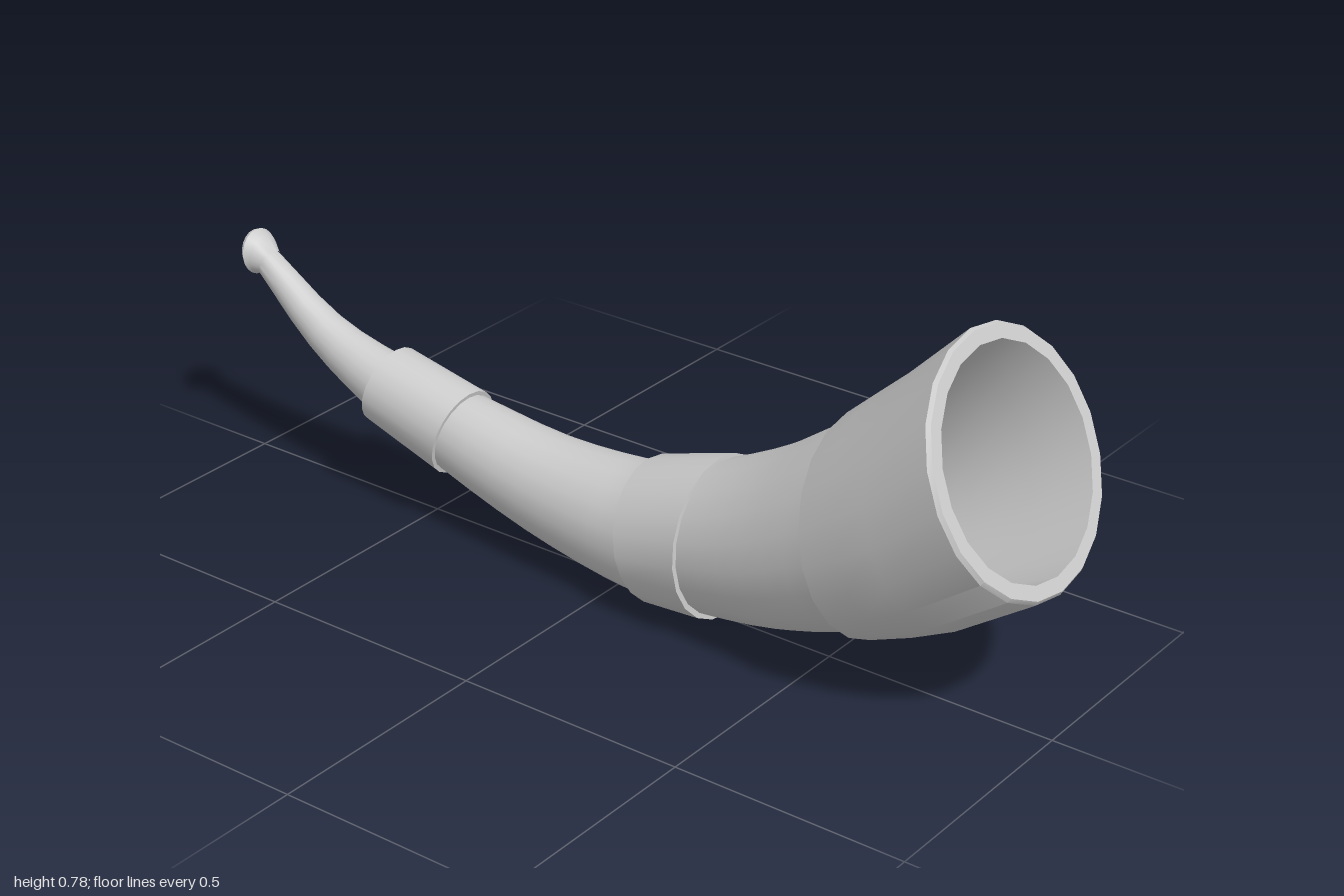
import * as THREE from 'three';
import { toCreasedNormals } from 'three/addons/utils/BufferGeometryUtils.js';

const SIDES = 20;
const material = new THREE.MeshStandardMaterial({ color: 0xcccccc });

// Skins round rings; each ring is [x, y, tilt in degrees, radius].
function loft(name, rings) {
  const pos = [], index = [];
  rings.forEach(([x, y, deg, r], i) => {
    const t = THREE.MathUtils.degToRad(deg);
    for (let j = 0; j < SIDES; j++) {
      const a = (j / SIDES) * Math.PI * 2;
      const u = r * Math.cos(a);
      pos.push(x - u * Math.sin(t), y + u * Math.cos(t), r * Math.sin(a));
      if (i === rings.length - 1) continue;
      const k = (j + 1) % SIDES, p = i * SIDES, q = p + SIDES;
      index.push(p + j, p + k, q + j, p + k, q + k, q + j);
    }
  });
  const geo = new THREE.BufferGeometry();
  geo.setAttribute('position', new THREE.Float32BufferAttribute(pos, 3));
  geo.setIndex(index);
  const mesh = new THREE.Mesh(toCreasedNormals(geo, 0.6), material);
  mesh.name = name;
  return mesh;
}

// Smoothly adds rings between the given ones.
function refine(rings, steps = 3) {
  const a = new THREE.CatmullRomCurve3(rings.map(([x, y, , r]) => new THREE.Vector3(x, y, r)));
  const b = new THREE.CatmullRomCurve3(rings.map(([, , t]) => new THREE.Vector3(t / 40, 0, 0)), false, 'catmullrom');
  const n = (rings.length - 1) * steps;
  return Array.from({ length: n + 1 }, (_, i) => {
    const p = a.getPoint(i / n);
    return [p.x, p.y, b.getPoint(i / n).x * 40, p.z];
  });
}

const resize = ([x, y, t], r) => [x, y, t, r];

// Raised collar between two rings, with stepped ends reaching into the horn.
function band(name, start, end, step) {
  return loft(name, [
    resize(start, start[3] - step), start, end, resize(end, end[3] - step),
  ]);
}

export function createModel() {
  const horn = new THREE.Group();
  horn.name = 'horn';

  // Curved tapering body
  const spine = [
    [-0.965, 0.462, -30, 0.029],
    [-0.8, 0.337, -31, 0.046],
    [-0.63, 0.265, -18, 0.066],
    [-0.425, 0.213, -13, 0.087],
    [-0.2, 0.166, -6, 0.106],
    [0, 0.151, 3, 0.127],
    [0.088, 0.155, 9, 0.137],
    [0.243, 0.188, 9, 0.157],
    [0.41, 0.243, 13, 0.182],
    [0.58, 0.329, 16, 0.207],
  ];
  horn.add(loft('body', refine(spine)));

  // Collars
  horn.add(band('smallBand', [-0.623, 0.266, -14, 0.087], [-0.425, 0.213, -13, 0.096], 0.03));
  horn.add(band('middleBand', [0.088, 0.155, 12.3, 0.15], [0.243, 0.188, 4.6, 0.168], 0.03));

  // Bell with bevelled rim
  const rim = [0.887, 0.553, 24.8, 0.26];
  const lip = [0.894, 0.557, 24.8, 0.254];
  const mouth = resize(lip, 0.225);
  horn.add(loft('bell', [
    [0.58, 0.329, 15.4, 0.19],
    [0.58, 0.329, 15.4, 0.222],
    [0.66, 0.379, 18, 0.236],
    [0.742, 0.434, 20.6, 0.247],
    rim, lip, mouth,
  ]));

  // Hollow bore, running inward from the bell to the mouthpiece
  const bore = [...spine.map((s) => resize(s, s[3] * 0.86 - 0.006)), mouth];
  horn.add(loft('bore', refine(bore).reverse()));

  // Flared mouthpiece
  horn.add(loft('mouthpiece', [
    [-0.965, 0.462, -20, 0.019],
    [-0.992, 0.476, 9, 0.026],
    [-0.992, 0.476, 9, 0.044],
    [-0.985, 0.474, 6, 0.049],
    [-0.973, 0.47, -4, 0.042],
    [-0.955, 0.456, -25, 0.03],
  ]));

  return horn;
}
